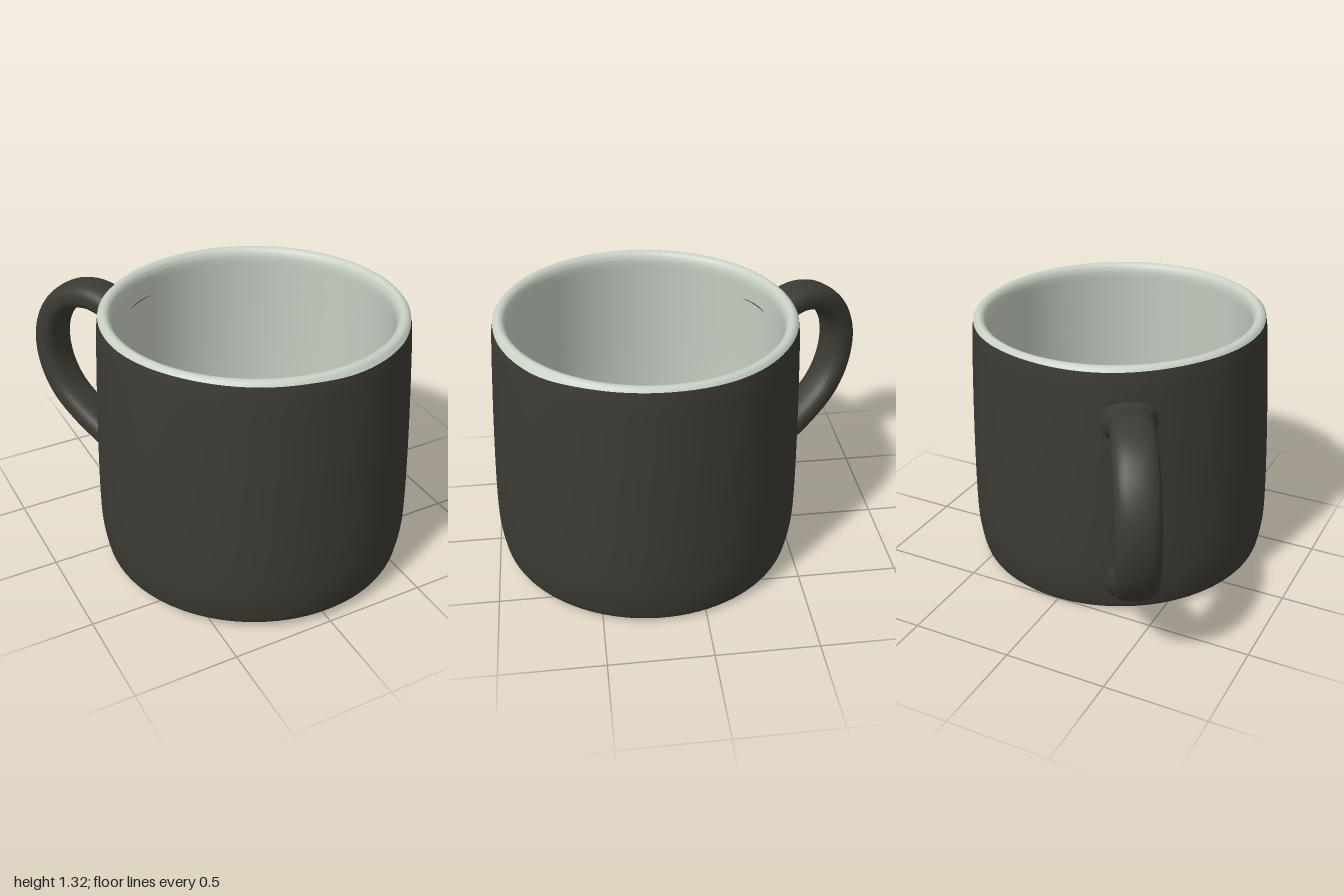
import * as THREE from 'three';

const SEGMENTS = 96;
const vec = ([x, y]) => new THREE.Vector2(x, y);

export function createModel() {
  const darkGlaze = new THREE.MeshStandardMaterial({ color: 0x3b3a33 });
  darkGlaze.name = 'darkGlaze';
  const paleGlaze = new THREE.MeshStandardMaterial({ color: 0xc8d0c4 });
  paleGlaze.name = 'paleGlaze';

  const model = new THREE.Group();
  model.name = 'mug';
  const add = (name, geometry, material) => {
    const mesh = new THREE.Mesh(geometry, material);
    mesh.name = name;
    model.add(mesh);
    return mesh;
  };

  // The glaze line sags a little at one side of the front
  const SEAM = 1.266;
  const sagSeam = (geometry) => {
    const p = geometry.attributes.position;
    for (let i = 0; i < p.count; i++) {
      if (Math.abs(p.getY(i) - SEAM) > 1e-4) continue;
      const a = Math.atan2(p.getX(i), p.getZ(i));
      const sag = 0.02 * Math.exp(-(((a - 0.45) / 0.5) ** 4));
      p.setY(i, SEAM - sag + 0.003 * Math.sin(a * 5));
    }
    return geometry;
  };

  // Outer shell: flat base, rounded foot, gently tapering wall
  const wall = new THREE.SplineCurve([
    [0.715, 0], [0.738, 0.012], [0.752, 0.06], [0.766, 0.16], [0.769, 0.28],
    [0.765, 0.5], [0.754, 0.8], [0.739, 1.1], [0.731, 1.22],
  ].map(vec)).getPoints(40);
  const outer = [vec([0, 0]), vec([0.7, 0]), ...wall, vec([0.724, SEAM])];
  add('outerShell', sagSeam(new THREE.LatheGeometry(outer, SEGMENTS)), darkGlaze);

  // Rounded pale rim running down into the pale inside
  const rim = new THREE.SplineCurve([
    [0.724, SEAM], [0.712, 1.28], [0.695, 1.286], [0.678, 1.279], [0.666, 1.262],
    [0.66, 1.23], [0.663, 1.15], [0.675, 0.9], [0.688, 0.6], [0.694, 0.3],
    [0.685, 0.17], [0.65, 0.11], [0.58, 0.09],
  ].map(vec)).getPoints(60);
  rim[0].y = SEAM;
  add('rimAndInside', sagSeam(new THREE.LatheGeometry([...rim, vec([0, 0.085])], SEGMENTS)), paleGlaze);

  // Handle: rounded oblong section swept along a loop, flared where it joins the wall
  const path = new THREE.CatmullRomCurve3([
    [0.68, 1.02], [0.79, 1.045], [0.88, 1.08], [0.98, 1.094], [1.1, 1.065], [1.2, 0.985],
    [1.265, 0.87], [1.285, 0.74], [1.26, 0.6], [1.19, 0.475], [1.07, 0.37],
    [0.93, 0.285], [0.8, 0.215], [0.69, 0.165],
  ].map(([x, y]) => new THREE.Vector3(x, y, 0)));
  const RINGS = 72, SIDES = 28;
  const positions = [], index = [];
  const soft = (v) => Math.sign(v) * Math.abs(v) ** 0.8;
  for (let i = 0; i <= RINGS; i++) {
    const t = i / RINGS;
    const c = path.getPointAt(t), d = path.getTangentAt(t);
    const flare = Math.max(0, 1 - (c.x - 0.7) / 0.17) ** 2;
    const thick = 0.07 + 0.045 * flare;
    const wide = 0.102 + 0.045 * flare;
    for (let j = 0; j < SIDES; j++) {
      const u = (j / SIDES) * Math.PI * 2;
      const n = thick * soft(Math.cos(u));
      positions.push(c.x - d.y * n, c.y + d.x * n, wide * soft(Math.sin(u)));
      if (i === RINGS) continue;
      const k = (j + 1) % SIDES, r = i * SIDES, s = r + SIDES;
      index.push(r + j, r + k, s + j, r + k, s + k, s + j);
    }
  }
  const handleGeometry = new THREE.BufferGeometry();
  handleGeometry.setAttribute('position', new THREE.Float32BufferAttribute(positions, 3));
  handleGeometry.setIndex(index);
  handleGeometry.computeVertexNormals();
  add('handle', handleGeometry, darkGlaze).rotation.y = Math.atan2(0.874, -0.486);

  // The mug leans very slightly back and to its left
  model.position.set(0, 0.017, 0.226);
  model.rotation.set(-0.02, 0, -0.008);
  const root = new THREE.Group();
  root.add(model);
  return root;
}
